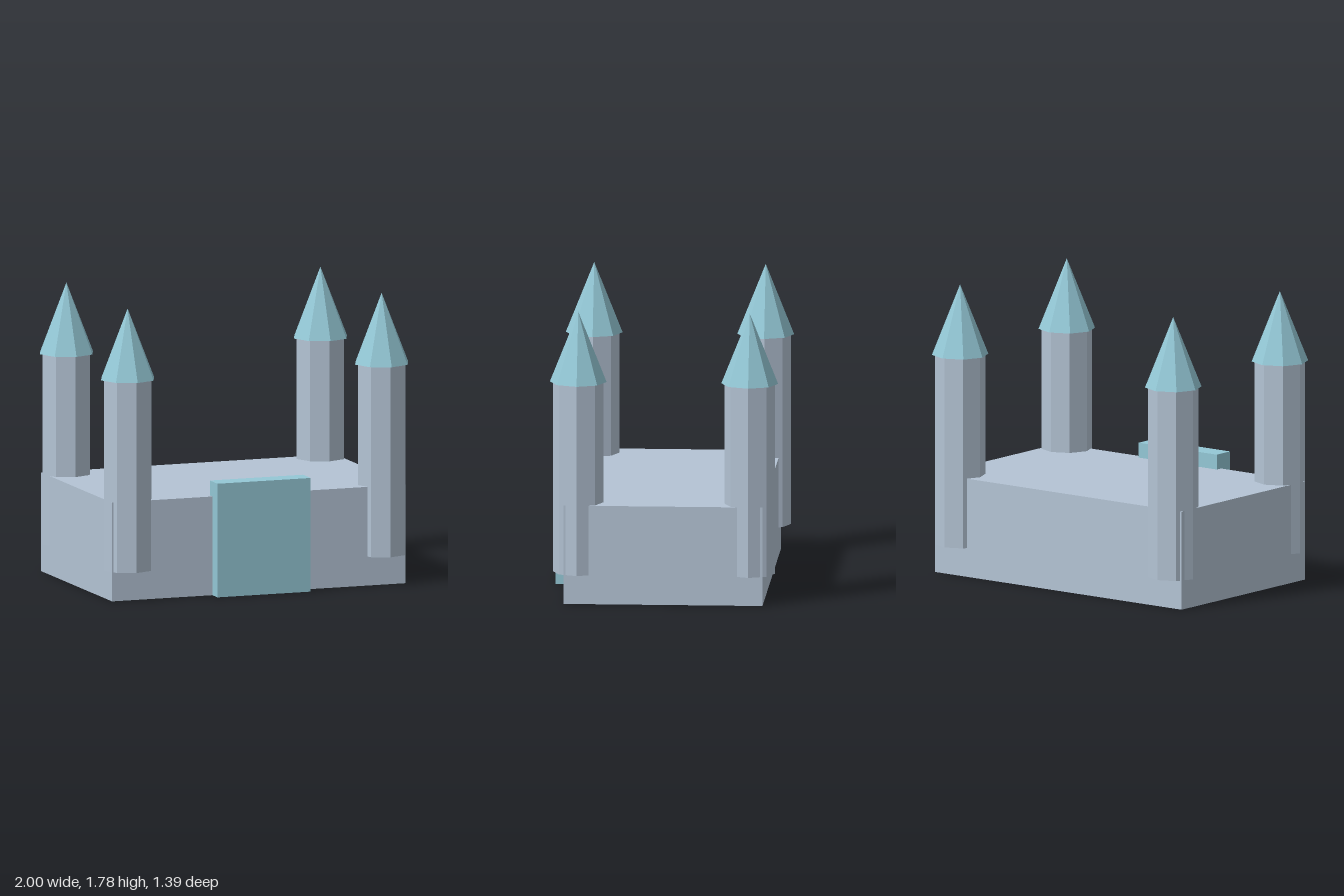
import * as THREE from 'three';

export function createModel() {
  const stone = new THREE.MeshStandardMaterial({ color: 0xb4c4d5, flatShading: true });
  stone.name = 'pale stone';
  const teal = new THREE.MeshStandardMaterial({ color: 0x94c8d6, flatShading: true });
  teal.name = 'light teal';

  const model = new THREE.Group();
  model.name = 'castle';

  function add(parent, name, geometry, material, x, y, z) {
    const mesh = new THREE.Mesh(geometry, material);
    mesh.name = name;
    mesh.position.set(x, y, z);
    parent.add(mesh);
  }

  // Solid keep and the raised gate slab on its front
  add(model, 'keep', new THREE.BoxGeometry(1.91, 0.608, 1.21), stone, -0.003, 0.304, -0.002);
  add(model, 'gate', new THREE.BoxGeometry(0.606, 0.7, 0.13), teal, -0.003, 0.35, 0.626);

  // Octagonal corner towers with pointed roofs, starting above the ground
  const shaft = new THREE.CylinderGeometry(0.155, 0.155, 1.173, 8);
  const roof = new THREE.ConeGeometry(0.173, 0.433, 8);
  for (const sx of [-1, 1]) {
    for (const sz of [-1, 1]) {
      const tower = new THREE.Group();
      tower.name = (sz > 0 ? 'front' : 'back') + (sx > 0 ? 'Left' : 'Right') + 'Tower';
      tower.position.set(sx * 0.826, 0, sz * 0.522);
      add(tower, 'shaft', shaft, stone, 0, 0.7645, 0);
      add(tower, 'roof', roof, teal, 0, 1.5675, 0);
      model.add(tower);
    }
  }
  return model;
}
